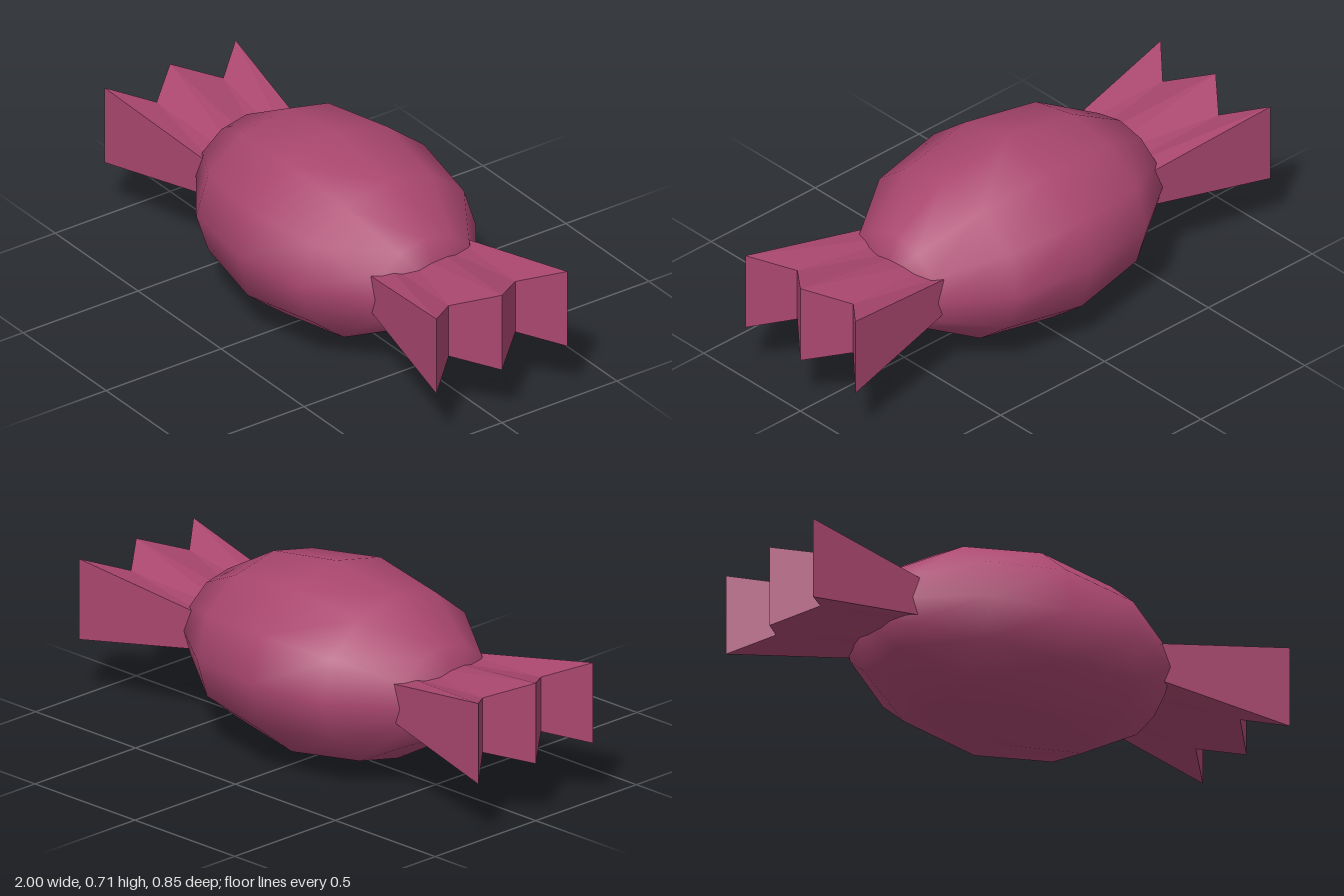
import * as THREE from 'three';

const CENTRE_Y = 0.355;

// Low-poly ellipsoid with its poles along x and slightly flattened front and back
function bodyGeometry() {
  const geo = new THREE.SphereGeometry(1, 12, 6);
  geo.rotateZ(Math.PI / 2);
  geo.scale(0.622, 0.355, 0.4426);
  const pos = geo.attributes.position;
  for (let i = 0; i < pos.count; i++) {
    pos.setZ(i, THREE.MathUtils.clamp(pos.getZ(i), -0.425, 0.425));
  }
  return geo;
}

// Pleated wedge pointing to +x: ridges reach further and stand taller than valleys
function wrapperGeometry() {
  const columns = [-1, -0.5, 0, 0.5, 1].map((f, i) => {
    const ridge = i % 2 === 0;
    const x = ridge ? 1 : 0.88;
    const h = ridge ? 0.1525 : 0.103;
    const zOut = f * (ridge ? 0.285 : 0.29);
    const zIn = f * 0.2;
    return {
      innerTop: [0.4, 0.055, zIn],
      innerBottom: [0.4, -0.055, zIn],
      outerTop: [x, h, zOut],
      outerBottom: [x, -h, zOut],
    };
  });
  const verts = [];
  const quad = (a, b, c, d) => verts.push(...a, ...b, ...c, ...a, ...c, ...d);

  for (let i = 0; i < columns.length - 1; i++) {
    const p = columns[i], q = columns[i + 1];
    quad(p.innerTop, q.innerTop, q.outerTop, p.outerTop);
    quad(p.innerBottom, p.outerBottom, q.outerBottom, q.innerBottom);
    quad(p.outerBottom, p.outerTop, q.outerTop, q.outerBottom);
  }
  // Side walls
  const back = columns[0], front = columns[columns.length - 1];
  quad(front.innerBottom, front.outerBottom, front.outerTop, front.innerTop);
  quad(back.innerBottom, back.innerTop, back.outerTop, back.outerBottom);

  const geo = new THREE.BufferGeometry();
  geo.setAttribute('position', new THREE.Float32BufferAttribute(verts, 3));
  geo.computeVertexNormals();
  return geo;
}

export function createModel() {
  const pink = new THREE.MeshStandardMaterial({ color: 0xaa476f });
  pink.name = 'candy pink';

  const group = new THREE.Group();
  group.name = 'wrappedCandy';

  const body = new THREE.Mesh(bodyGeometry(), pink);
  body.name = 'candyBody';
  body.position.y = CENTRE_Y;
  group.add(body);

  // Twisted wrapper ends, one turned half way round
  const wrapper = wrapperGeometry();
  for (const [name, turn] of [['leftWrapperEnd', 0], ['rightWrapperEnd', Math.PI]]) {
    const end = new THREE.Mesh(wrapper, pink);
    end.name = name;
    end.position.y = CENTRE_Y + 0.0125;
    end.rotation.y = turn;
    group.add(end);
  }
  return group;
}
